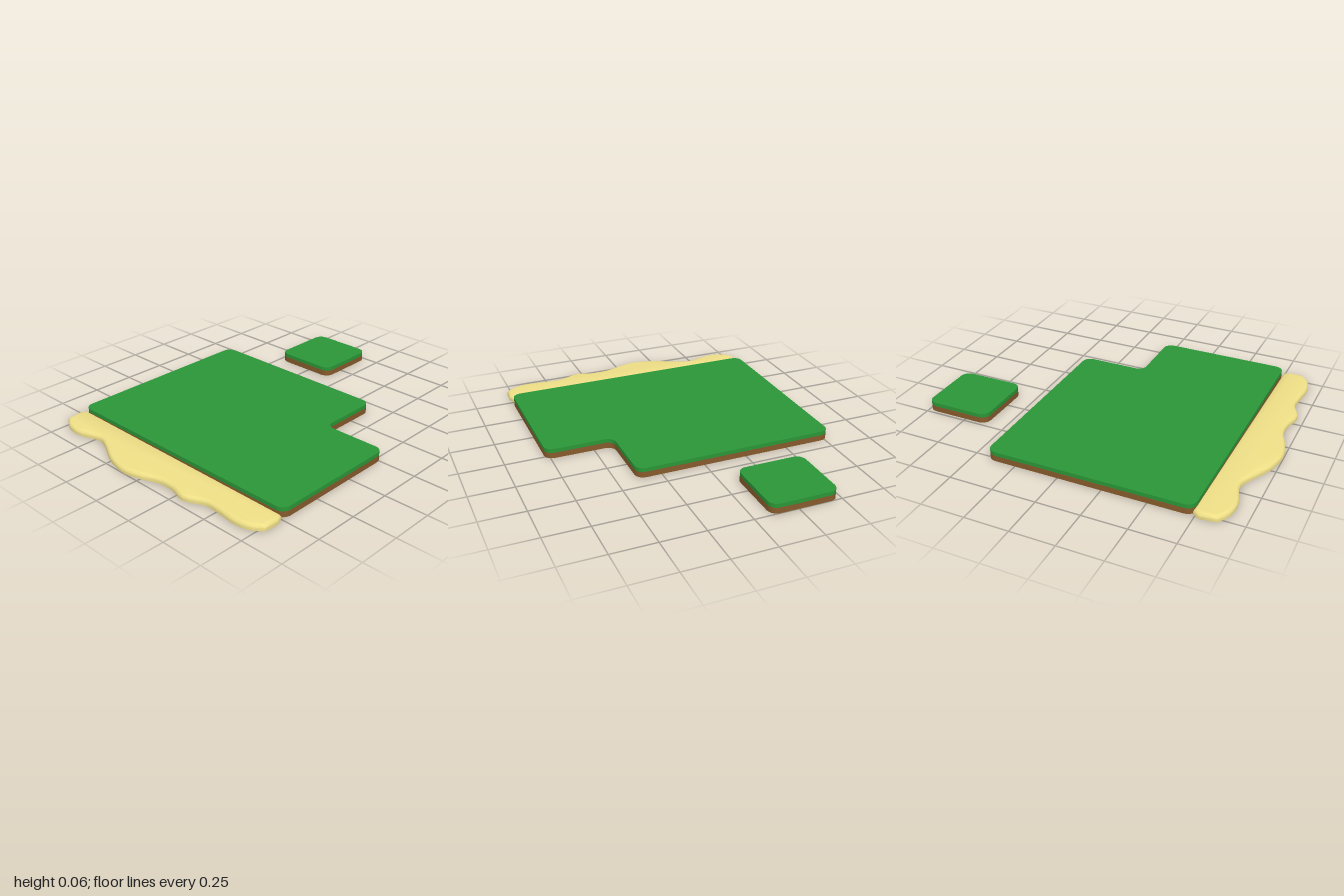
import * as THREE from 'three';
import { toCreasedNormals } from 'three/addons/utils/BufferGeometryUtils.js';

const TILE = 0.388, WALL = 0.013, RADIUS = 0.05;
const SOIL_TOP = 0.033, ROOF = 0.048, TOP = 0.056;

const grass = new THREE.MeshStandardMaterial({ color: 0x2a9637 });
const soil = new THREE.MeshStandardMaterial({ color: 0x865a2b });
const sand = new THREE.MeshStandardMaterial({ color: 0xeedf86 });

// Traces a polygon given as [x, z] corners, rounding each corner
function roundedPath(corners, r, path) {
  // reversed so that outlines and holes both run counterclockwise
  const pts = corners.map(([x, z]) => new THREE.Vector2(x, -z)).reverse();
  const n = pts.length;
  pts.forEach((p, i) => {
    const toward = (q) => q.clone().sub(p).setLength(r).add(p);
    const a = toward(pts[(i + n - 1) % n]);
    const b = toward(pts[(i + 1) % n]);
    // control points of a quarter circle
    const c1 = a.clone().lerp(p, 0.5523), c2 = b.clone().lerp(p, 0.5523);
    if (i === 0) path.moveTo(a.x, a.y);
    else path.lineTo(a.x, a.y);
    path.bezierCurveTo(c1.x, c1.y, c2.x, c2.y, b.x, b.y);
  });
  path.closePath();
  return path;
}

function rect(x, z, inset = 0) {
  const x1 = x + TILE - inset, z1 = z + TILE - inset;
  return [[x + inset, z + inset], [x1, z + inset], [x1, z1], [x + inset, z1]];
}

// Extrudes a ground-plan shape upward from y0 to y1
function layer(name, shape, y0, y1, material) {
  const geo = new THREE.ExtrudeGeometry(shape, { depth: y1 - y0, bevelEnabled: false, curveSegments: 6 });
  geo.rotateX(-Math.PI / 2).translate(0, y0, 0);
  const mesh = new THREE.Mesh(toCreasedNormals(geo, 0.6), material);
  mesh.name = name;
  return mesh;
}

// Platform: soil walls below, a grass rim, and a solid grass roof
function platform(name, outline, cells) {
  const group = new THREE.Group();
  group.name = name;
  const plan = (hollow) => {
    const shape = roundedPath(outline, RADIUS, new THREE.Shape());
    if (hollow) {
      for (const [x, z] of cells) {
        shape.holes.push(roundedPath(rect(x, z, WALL), RADIUS, new THREE.Path()));
      }
    }
    return shape;
  };
  group.add(
    layer('soilWalls', plan(true), 0, SOIL_TOP, soil),
    layer('grassRim', plan(true), SOIL_TOP, ROOF, grass),
    layer('grassTop', plan(false), ROOF, TOP, grass),
  );
  return group;
}

// Sandy shore with a wavy front edge, a rounded upper rim and a flat base
function shore() {
  const front = [
    [-0.775, 0.865], [-0.705, 0.905], [-0.605, 0.915], [-0.47, 0.877], [-0.38, 0.905],
    [-0.25, 0.97], [-0.115, 0.999], [0, 0.977], [0.1, 0.94], [0.2, 0.937], [0.31, 0.962],
    [0.42, 0.917], [0.52, 0.92], [0.63, 0.931], [0.72, 0.915], [0.78, 0.87],
  ].map(([x, z]) => new THREE.Vector2(x, -z));
  const shape = new THREE.Shape();
  shape.moveTo(-0.765, -0.738);
  shape.lineTo(-0.787, -0.775);
  shape.lineTo(front[0].x, front[0].y);
  shape.splineThru(front.slice(1));
  shape.lineTo(0.785, -0.79);
  shape.lineTo(0.765, -0.75);
  const edge = 0.02;
  const geo = new THREE.ExtrudeGeometry(shape, {
    depth: SOIL_TOP - edge, bevelThickness: edge, bevelSize: edge,
    bevelOffset: -edge, bevelSegments: 4, curveSegments: 3,
  });
  geo.rotateX(-Math.PI / 2);
  // flatten the lower bevel onto the ground
  const pos = geo.attributes.position;
  for (let i = 0; i < pos.count; i++) pos.setY(i, Math.max(0, pos.getY(i)));
  const mesh = new THREE.Mesh(toCreasedNormals(geo, 0.7), sand);
  mesh.name = 'sandShore';
  return mesh;
}

export function createModel() {
  const model = new THREE.Group();
  model.name = 'grassPlatforms';

  // Four by three tiles with the back right one missing
  const x0 = -0.776, z0 = -0.419;
  const cells = [];
  for (let row = 0; row < 3; row++) {
    for (let col = 0; col < (row === 0 ? 3 : 4); col++) {
      cells.push([x0 + col * TILE, z0 + row * TILE]);
    }
  }
  const xs = x0 + 3 * TILE, x1 = x0 + 4 * TILE, zs = z0 + TILE, z1 = z0 + 3 * TILE;
  const outline = [[x0, z0], [xs, z0], [xs, zs], [x1, zs], [x1, z1], [x0, z1]];
  model.add(platform('mainPlatform', outline, cells));

  // Single detached tile behind
  const island = [-0.482, -1];
  model.add(platform('smallPlatform', rect(...island), [island]));

  model.add(shore());
  return model;
}
